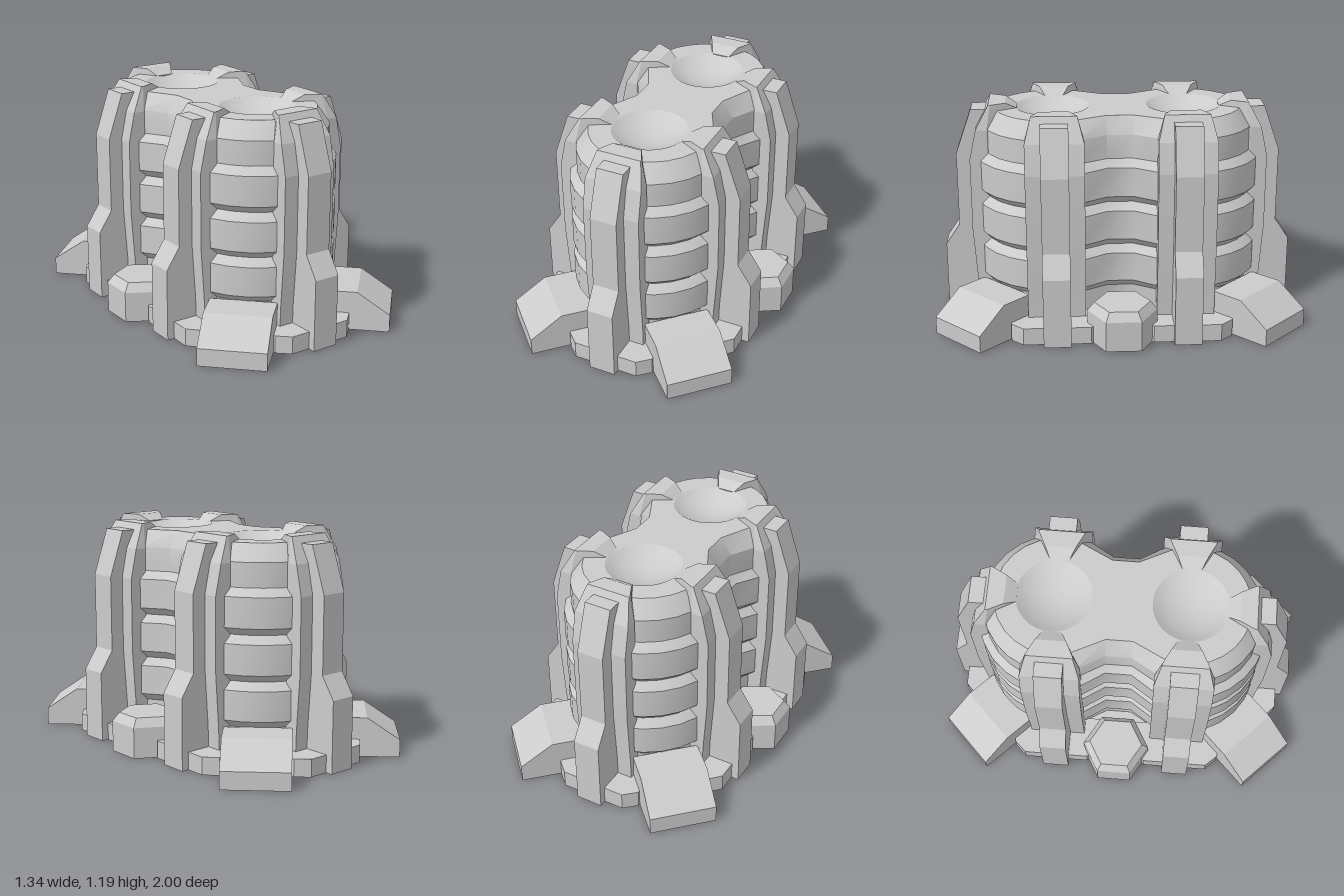
import * as THREE from 'three';
import { toCreasedNormals } from 'three/addons/utils/BufferGeometryUtils.js';

const material = new THREE.MeshStandardMaterial({ color: 0xcccccc });
const doubleSided = new THREE.MeshStandardMaterial({ color: 0xcccccc, side: THREE.DoubleSide });
const CZ = 0.346;   // distance of each tower centre from the middle
const TOP = 1.155;  // height of the roof
const FLOOR = 0.085; // height of the underside

function add(parent, name, geometry, mat = doubleSided) {
  const mesh = new THREE.Mesh(geometry, mat);
  mesh.name = name;
  parent.add(mesh);
  return mesh;
}

// Skin a stack of rings, bottom to top; each ring is { y, pts: [[x, z], ...] }
// An open loft leaves out the wall between the last and the first point
function loft(rings, { crease, capTop = true, open = false }) {
  const pos = [];
  const put = (ring, i) => pos.push(ring.pts[i][0], ring.y, ring.pts[i][1]);
  const n = rings[0].pts.length;
  for (let k = 0; k < rings.length - 1; k++) {
    const a = rings[k], b = rings[k + 1];
    for (let i = 0; i < (open ? n - 1 : n); i++) {
      const j = (i + 1) % n;
      put(a, i); put(a, j); put(b, j);
      put(a, i); put(b, j); put(b, i);
    }
  }
  if (capTop) {
    const hi = rings[rings.length - 1];
    for (let i = 1; i < n - 1; i++) {
      put(hi, 0); put(hi, i); put(hi, i + 1);
    }
  }
  const g = new THREE.BufferGeometry();
  g.setAttribute('position', new THREE.Float32BufferAttribute(pos, 3));
  g.computeVertexNormals();
  return toCreasedNormals(g, crease);
}

// Hollow block facing +z, open below and behind; profile is [height, outer radius] pairs
function block(profile, h, inner) {
  const rings = profile.map(([y, r]) => ({ y, pts: [[-h, inner], [-h, r], [h, r], [h, inner]] }));
  return loft(rings, { crease: 0.1, open: true });
}

// Twin-tower outline with a narrow waist, inset by d
function outline(d) {
  const R = 0.427 - d, w = 0.315 - 0.9 * d, end = THREE.MathUtils.degToRad(110), steps = 16;
  const half = [[-w, 0.07]];
  for (let i = 0; i <= steps; i++) {
    const a = -end + (2 * end * i) / steps;
    half.push([R * Math.sin(a), CZ + R * Math.cos(a)]);
  }
  half.push([w, 0.07]);
  return [...half, ...half.map(([x, z]) => [-x, -z])];
}

function buildBody(root) {
  // Banded wall: [height, inset]
  const wall = [[FLOOR, 0.04], [0.21, 0.04], [0.25, 0]];
  for (let i = 0; i < 3; i++) {
    const y = 0.25 + i * 0.242;
    wall.push([y + 0.16, 0], [y + 0.202, 0.04]);
    if (i < 2) wall.push([y + 0.242, 0]);
  }
  wall.push([1.065, 0.04], [TOP, 0.105]);
  const rings = wall.map(([y, d]) => ({ y, pts: outline(d) }));
  add(root, 'bandedWall', loft(rings, { crease: 0.61, capTop: false }), material);

  // Roof with two round openings
  const roof = new THREE.Shape(outline(0.105).map(([x, z]) => new THREE.Vector2(x, -z)));
  for (const s of [1, -1]) {
    roof.holes.push(new THREE.Path().absarc(0, s * 0.355, 0.2, 0, Math.PI * 2, true));
  }
  add(root, 'roof', new THREE.ShapeGeometry(roof, 16).rotateX(-Math.PI / 2).translate(0, TOP, 0), material);

  // Straight-sided base plate under both towers
  const plate = new THREE.Shape()
    .absarc(0, CZ, 0.425, 0, Math.PI, false)
    .absarc(0, -CZ, 0.425, Math.PI, Math.PI * 2, false);
  add(root, 'basePlate', new THREE.ShapeGeometry(plate, 16).rotateX(-Math.PI / 2).translate(0, FLOOR, 0));

  // Shallow bowls sunk into the roof
  const depth = 0.065, R = (0.2 ** 2 + depth ** 2) / (2 * depth);
  const arc = [];
  for (let i = 0; i <= 8; i++) {
    const a = (i / 8) * Math.asin(0.2 / R);
    arc.push(new THREE.Vector2(R * Math.sin(a), TOP - depth + R - R * Math.cos(a)));
  }
  for (const s of [1, -1]) {
    add(root, 'roofBowl', new THREE.LatheGeometry(arc, 32)).position.z = s * 0.355;
  }
}

function buildButtress() {
  const group = new THREE.Group();
  group.name = 'buttress';

  // Broad pier: [height, outer radius, outer half width, middle radius, inner radius, inner half width]
  const pier = [
    [FLOOR, 0.432, 0.155, 0.36, 0.3, 0.12],
    [0.2, 0.435, 0.155, 0.36, 0.3, 0.12],
    [0.5, 0.455, 0.155, 0.36, 0.3, 0.12],
    [0.9, 0.455, 0.155, 0.36, 0.25, 0.09],
    [1.06, 0.42, 0.155, 0.36, 0.21, 0.06],
    [TOP, 0.369, 0.13, 0.345, 0.2, 0.05],
    [1.19, 0.35, 0.12, 0.34, 0.26, 0.08],
  ].map(([y, ro, h, rm, ri, hi]) => ({
    y, pts: [[-h, ro], [h, ro], [h, rm], [hi, ri], [-hi, ri], [-h, rm]],
  }));
  add(group, 'pier', loft(pier, { crease: 0.2 }));

  // Narrow stepped fin on the outside of the pier
  add(group, 'fin', block(
    [[0, 0.61], [0.385, 0.61], [0.5, 0.533], [0.91, 0.533], [TOP, 0.447]], 0.073, 0.34));

  // Low foot with clipped corners
  const foot = [[-0.245, 0.34], [-0.245, 0.51], [-0.18, 0.57], [0.18, 0.57], [0.245, 0.51], [0.245, 0.34]];
  add(group, 'foot', loft([0, 0.095].map(y => ({ y, pts: foot })), { crease: 0.1, open: true }));
  return group;
}

export function createModel() {
  const root = new THREE.Group();
  root.name = 'twinTower';
  buildBody(root);

  for (const s of [1, -1]) {
    // Three buttresses around each tower
    for (const turn of [-1, 0, 1]) {
      const buttress = buildButtress();
      buttress.position.z = s * CZ;
      buttress.rotation.y = (turn * Math.PI) / 2 + (s < 0 ? Math.PI : 0);
      root.add(buttress);
    }

    // Sloped corner braces
    for (const side of [1, -1]) {
      const brace = add(root, 'cornerBrace', block([[0, 0], [0.095, 0], [0.213, -0.175]], 0.177, -0.36));
      brace.position.set(side * 0.527, 0, s * 0.875);
      brace.rotation.y = Math.atan2(side, s);
    }

    // Hexagonal pod beside the waist
    const podProfile = [[0.187, 0], [0.187, 0.167], [0.15, 0.213], [0, 0.213]]
      .map(p => new THREE.Vector2(...p));
    const pod = toCreasedNormals(new THREE.LatheGeometry(podProfile, 6), 0.2);
    add(root, 'hexPod', pod).position.x = s * 0.508;
  }
  return root;
}
